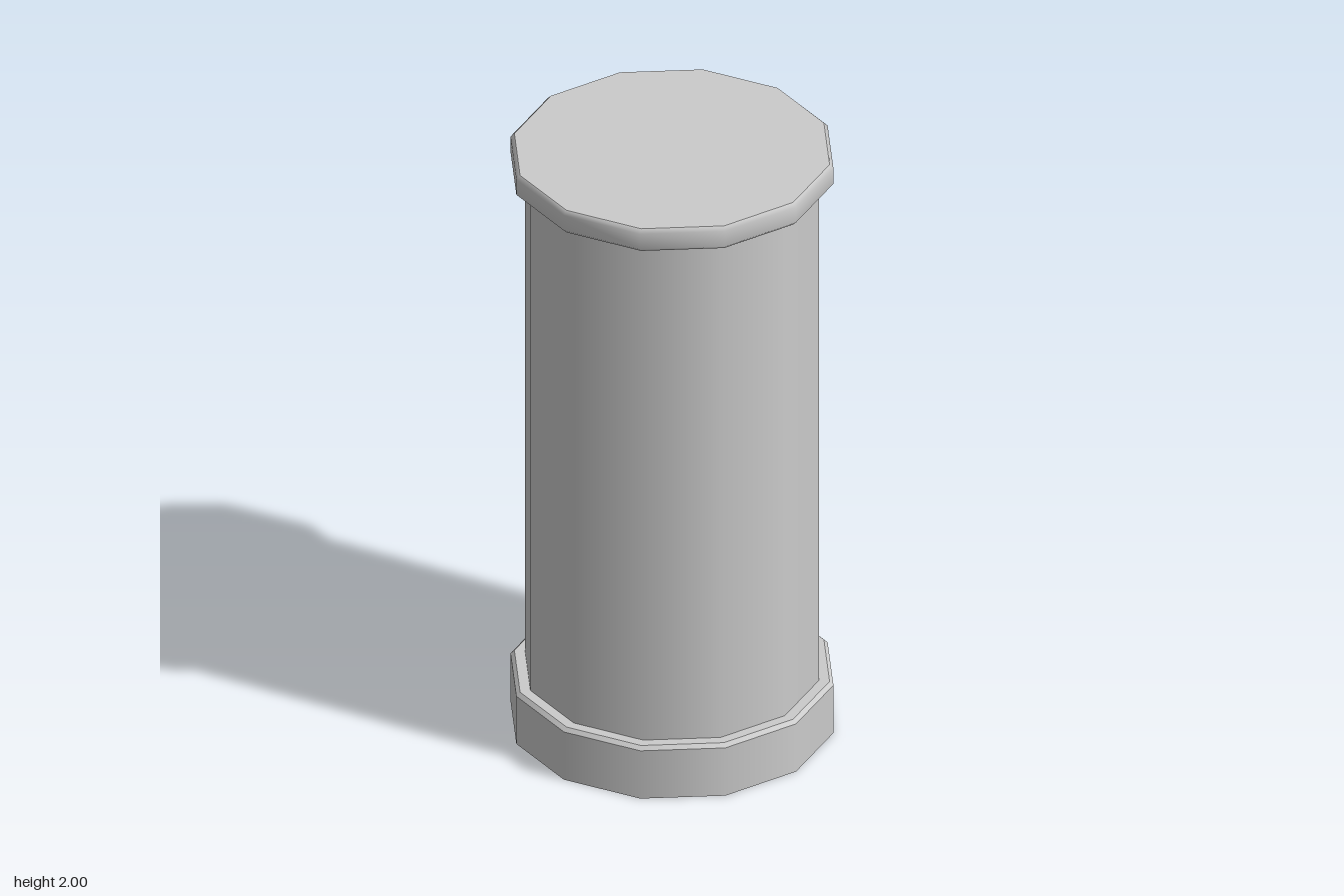
import * as THREE from 'three';
import { mergeGeometries } from 'three/addons/utils/BufferGeometryUtils.js';

const SIDES = 12;
const material = new THREE.MeshStandardMaterial({ color: 0xcccccc });

// One smooth band turned from a profile of [radius, y] points, bottom to top.
const band = (...points) =>
  new THREE.LatheGeometry(points.map(([r, y]) => new THREE.Vector2(r, y)), SIDES);

// Bands are kept separate, so the edge between two of them stays sharp.
function turned(name, bands) {
  const mesh = new THREE.Mesh(mergeGeometries(bands), material);
  mesh.name = name;
  return mesh;
}

export function createModel() {
  const group = new THREE.Group();
  group.name = 'column';

  // Plinth: flat bottom, straight wall, small bevel and ledge
  group.add(turned('base', [
    band([0, 0], [0.5, 0]),
    band([0.5, 0], [0.5, 0.168]),
    band([0.5, 0.168], [0.488, 0.18]),
    band([0.488, 0.18], [0, 0.18]),
  ]));

  // Plain shaft
  group.add(turned('shaft', [band([0.455, 0.18], [0.455, 1.925])]));

  // Lid: rim softly rounded above and below, flat faces
  group.add(turned('cap', [
    band([0, 1.922], [0.488, 1.922]),
    band([0.488, 1.922], [0.5, 1.934], [0.5, 1.988], [0.488, 2]),
    band([0.488, 2], [0, 2]),
  ]));

  return group;
}
